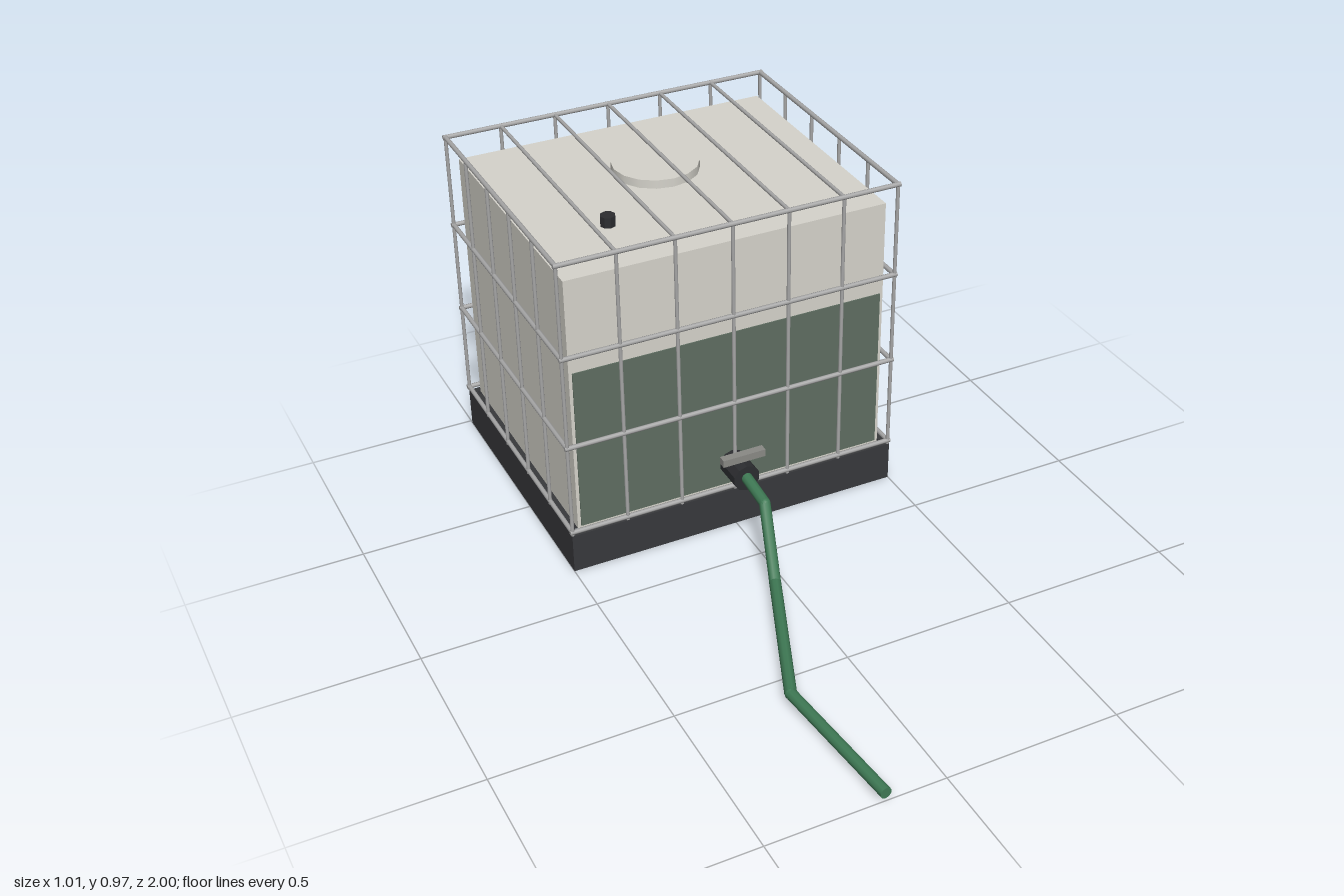
import * as THREE from 'three';

const mat = (color, flatShading = false) => new THREE.MeshStandardMaterial({ color, flatShading });

export function createModel() {
  const model = new THREE.Group();
  const steel = mat(0xa8a8a8), plastic = mat(0xd6d4cc), dark = mat(0x38393c);
  const black = mat(0x2c2d30, true), green = mat(0x3f7a55), liquidMat = mat(0x5f6e62), grey = mat(0x8a8a86);

  const add = (parent, name, geometry, material, x = 0, y = 0, z = 0) => {
    const mesh = new THREE.Mesh(geometry, material);
    mesh.name = name;
    mesh.position.set(x, y, z);
    parent.add(mesh);
    return mesh;
  };
  const box = (parent, name, material, w, h, d, x, y, z) =>
    add(parent, name, new THREE.BoxGeometry(w, h, d), material, x, y, z);
  const group = (name) => {
    const g = new THREE.Group();
    g.name = name;
    model.add(g);
    return g;
  };
  // Round bar between two points
  const bar = (parent, name, a, b, r, material, sides = 8) => {
    const from = new THREE.Vector3(...a), to = new THREE.Vector3(...b);
    const dir = to.clone().sub(from);
    const mesh = add(parent, name, new THREE.CylinderGeometry(r, r, dir.length(), sides), material);
    mesh.position.copy(from).add(to).multiplyScalar(0.5);
    mesh.quaternion.setFromUnitVectors(new THREE.Vector3(0, 1, 0), dir.normalize());
    return mesh;
  };

  const front = -0.165, back = -0.993, midZ = (front + back) / 2, halfX = 0.497;

  // Pallet: thin skirt under a slightly shorter deck, open below
  const pallet = group('pallet');
  for (const s of [-1, 1]) {
    box(pallet, 'palletSide', dark, 0.02, 0.12, 0.83, s * 0.49, 0.06, -0.575);
    box(pallet, 'palletEnd', dark, 0.96, 0.12, 0.02, 0, 0.06, -0.575 + s * 0.405);
  }
  box(pallet, 'palletDeck', dark, 0.96, 0.012, 0.745, 0, 0.113, -0.58);

  // Tank with its filling, lid and vent
  const tank = group('tank');
  box(tank, 'tankBody', plastic, 0.945, 0.783, 0.78, 0, 0.5135, -0.575);
  box(tank, 'liquid', liquidMat, 0.926, 0.495, 0.004, 0, 0.3775, -0.184);
  add(tank, 'lid', new THREE.CylinderGeometry(0.125, 0.125, 0.026, 16), plastic, 0, 0.917, -0.66);
  add(tank, 'vent', new THREE.CylinderGeometry(0.022, 0.022, 0.031, 8), black, -0.25, 0.92, -0.412);

  // Cage: horizontal hoops, uprights and top bars
  const cage = group('cage');
  const hoopR = 0.007, barR = 0.0055, bottom = 0.13, top = 0.966;
  for (let i = 0; i < 4; i++) {
    const y = bottom + (top - bottom) * i / 3;
    for (const z of [front, back]) bar(cage, 'hoopRail', [-0.504, y, z], [0.504, y, z], hoopR, steel);
    for (const s of [-1, 1]) bar(cage, 'hoopRail', [s * halfX, y, back], [s * halfX, y, front], hoopR, steel);
  }
  for (let i = 0; i <= 6; i++) {
    const x = -halfX + 2 * halfX * i / 6;
    for (const z of [front, back]) bar(cage, 'upright', [x, 0.12, z], [x, top, z], barR, steel);
    if (i > 0 && i < 6) bar(cage, 'topBar', [x, top, back], [x, top, front], barR, steel);
  }
  for (let i = 1; i < 5; i++) {
    const z = front + (back - front) * i / 5;
    for (const s of [-1, 1]) bar(cage, 'upright', [s * halfX, 0.12, z], [s * halfX, top, z], barR, steel);
  }

  // Outlet valve and its handle
  const valve = group('valve');
  bar(valve, 'valveBody', [0, 0.2, -0.19], [0, 0.2, -0.09], 0.04, black, 10);
  box(valve, 'valveHandle', grey, 0.13, 0.022, 0.024, 0, 0.259, -0.115);

  // Hose: straight runs joined by small rounded elbows
  const hose = group('hose');
  const path = [[0, 0.203, -0.1], [0, 0.187, 0.02], [-0.042, 0.03, 0.165], [-0.21, 0.023, 0.58], [-0.17, 0.023, 0.998]];
  for (let i = 1; i < path.length; i++) {
    bar(hose, 'hoseRun', path[i - 1], path[i], 0.0165, green, 10);
    if (i < path.length - 1) add(hose, 'hoseElbow', new THREE.SphereGeometry(0.0165, 10, 8), green, ...path[i]);
  }
  return model;
}
